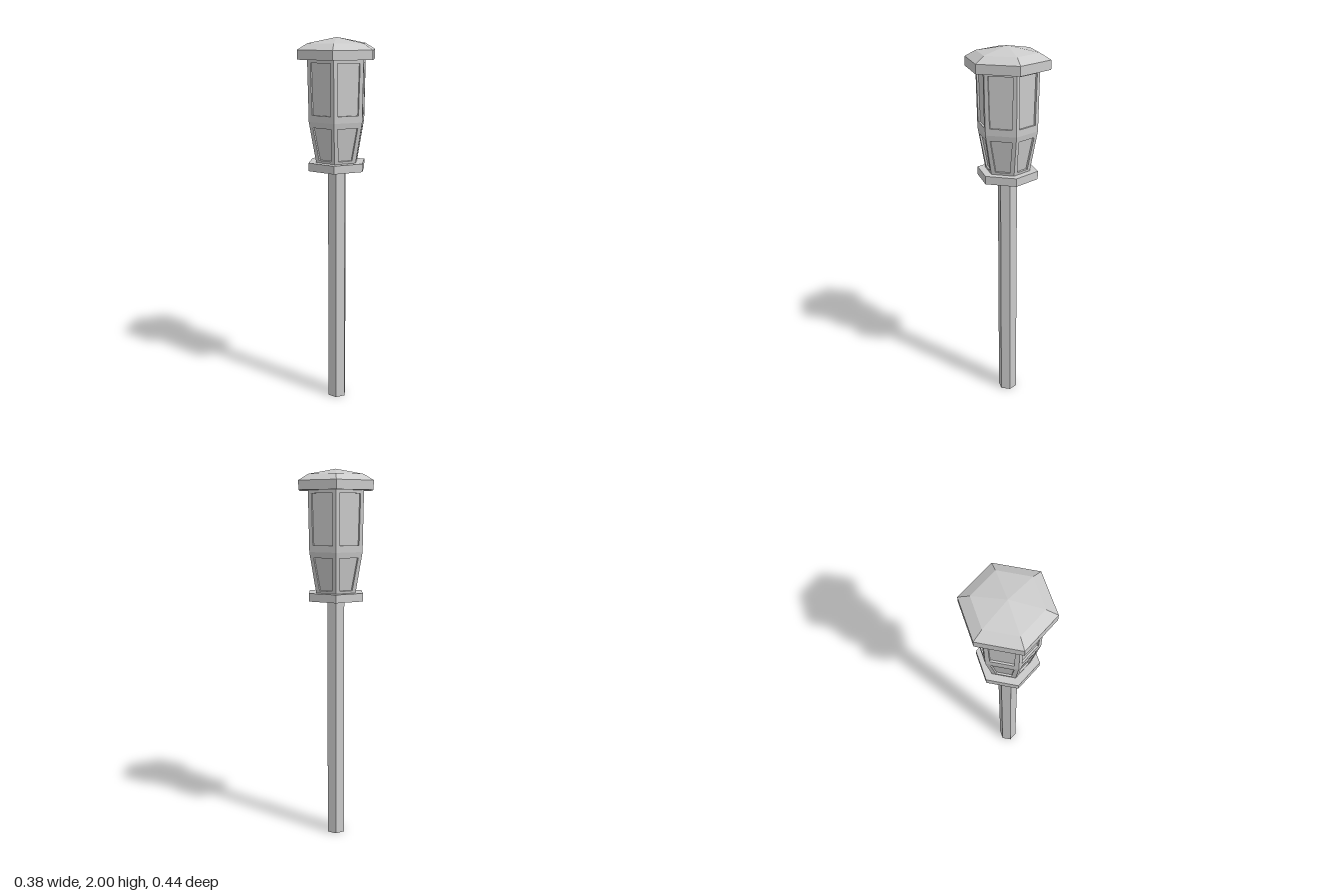
import * as THREE from 'three';

const material = new THREE.MeshStandardMaterial({ color: 0xcccccc, flatShading: true });
const COS30 = Math.cos(Math.PI / 6);

// Hexagonal solid from a [radius, y] profile listed bottom to top, corners on the z axis
function hexSolid(name, profile) {
  const points = profile.map(([r, y]) => new THREE.Vector2(r, y));
  const mesh = new THREE.Mesh(new THREE.LatheGeometry(points, 6), material);
  mesh.name = name;
  return mesh;
}

// One sloped side facing +z: a frame, the walls of its recess and the sunken pane.
// Each edge is [y, half width]; the side itself runs between [y, hexagon radius] pairs.
function framedSide(name, [y0, r0], [y1, r1], [py0, pw0], [py1, pw1], depth) {
  const zAt = (y) => COS30 * THREE.MathUtils.mapLinear(y, y0, y1, r0, r1);
  const corners = (ya, wa, yb, wb) =>
    [[-wa, ya], [wa, ya], [wb, yb], [-wb, yb]].map(([x, y]) => new THREE.Vector3(x, y, zAt(y)));
  const inward = new THREE.Vector3(0, zAt(y1) - zAt(y0), y0 - y1).setLength(depth);
  const outer = corners(y0, r0 / 2, y1, r1 / 2);
  const rim = corners(py0, pw0, py1, pw1);
  const pane = rim.map((p) => p.clone().add(inward));

  const positions = [];
  const quad = (a, b, c, d) => [a, b, c, a, c, d].forEach((p) => positions.push(p.x, p.y, p.z));
  for (let i = 0; i < 4; i++) {
    const j = (i + 1) % 4;
    quad(outer[i], outer[j], rim[j], rim[i]);
    quad(rim[i], rim[j], pane[j], pane[i]);
  }
  quad(...pane);

  const geometry = new THREE.BufferGeometry();
  geometry.setAttribute('position', new THREE.Float32BufferAttribute(positions, 3));
  geometry.computeVertexNormals();
  const mesh = new THREE.Mesh(geometry, material);
  mesh.name = name;
  return mesh;
}

export function createModel() {
  const model = new THREE.Group();
  model.name = 'lampPost';

  // Post and the plate that carries the lantern
  model.add(hexSolid('post', [[0, 0], [0.052, 0], [0.052, 1.32], [0, 1.32]]));
  model.add(hexSolid('basePlate', [[0, 1.317], [0.163, 1.317], [0.163, 1.36], [0, 1.36]]));

  // Lantern body: six sides, each with a tapered lower pane and a tall upper pane
  const lantern = new THREE.Group();
  lantern.name = 'lantern';
  for (let i = 0; i < 6; i++) {
    const side = new THREE.Group();
    side.name = 'lanternSide';
    side.rotation.y = Math.PI / 6 + (i * Math.PI) / 3;
    side.add(framedSide('lowerPane', [1.36, 0.12], [1.575, 0.16], [1.373, 0.038], [1.545, 0.057], 0.01));
    side.add(framedSide('upperPane', [1.575, 0.16], [1.89, 0.166], [1.61, 0.058], [1.873, 0.063], 0.01));
    lantern.add(side);
  }
  model.add(lantern);

  // Roof: straight rim, bevel and a low point
  model.add(hexSolid('roof', [[0, 1.89], [0.221, 1.89], [0.221, 1.938], [0.164, 1.97], [0, 2]]));
  return model;
}
